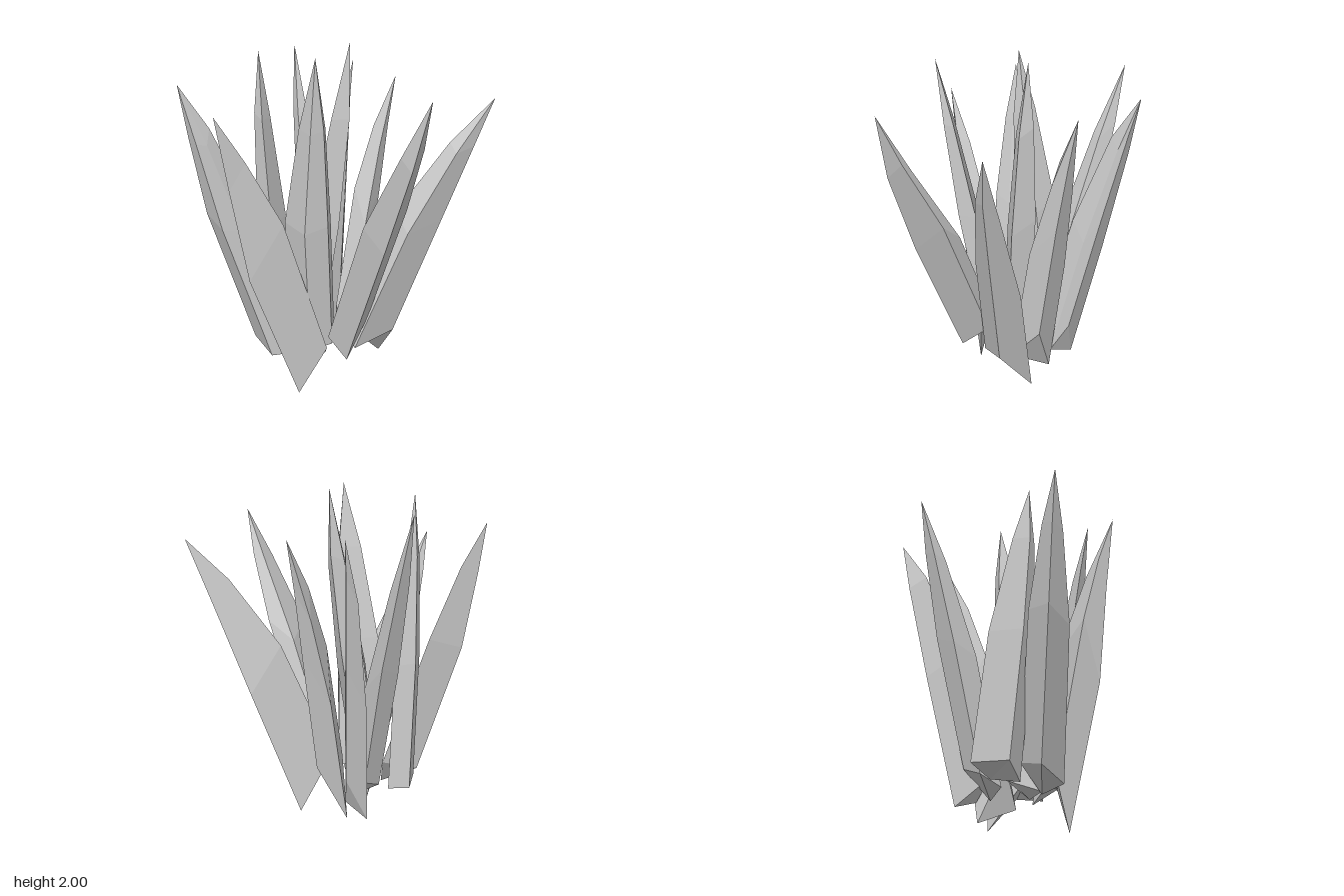
import * as THREE from 'three';

// base: corners of the broken-off foot, going round from +x towards +z.
// spine: [x, y, z, scale of the foot outline]; the last point is the tip.
const SHARDS = {
  rightFrontShard: {
    base: [[0, 0.28, 0.26], [-0.15, 0, 0.33], [-0.21, 0.3, 0.27], [-0.06, 0.18, 0.13]],
    spine: [[-0.3, 0.97, 0.43, 1.15], [-0.4, 1.38, 0.54, 0.55], [-0.47, 1.68, 0.64, 0]],
  },
  middleFrontShard: {
    base: [[0.02, 0.3, 0.23], [-0.1, 0.25, 0.27], [-0.23, 0.3, 0.23], [0, 0.3, 0.13]],
    spine: [[-0.05, 1.05, 0.35, 1], [0, 1.6, 0.43, 0.55], [0.03, 1.98, 0.49, 0]],
  },
  leftFrontShard: {
    base: [[0.2, 0.44, 0.12], [0.14, 0.26, 0.32], [0.04, 0.4, 0.35], [0.05, 0.33, 0.1]],
    spine: [[0.36, 1.08, 0.37, 1.05], [0.53, 1.5, 0.48, 0.55], [0.64, 1.81, 0.53, 0]],
  },
  leftShard: {
    base: [[0.32, 0.33, 0], [0.14, 0.26, 0.17], [0.04, 0.38, 0.1], [0.19, 0.11, -0.15]],
    spine: [[0.45, 0.98, -0.03, 0.88], [0.67, 1.43, -0.08, 0.45], [0.83, 1.72, -0.14, 0]],
  },
  leftBackShard: {
    base: [[0.05, 0.19, 0.03], [-0.04, 0.43, -0.02], [-0.09, 0.085, -0.16], [0.09, 0.4, -0.16]],
    spine: [[0.07, 1, -0.2, 0.9], [0.13, 1.42, -0.3, 0.5], [0.2, 1.77, -0.4, 0]],
  },
  backShard: {
    base: [[-0.08, 0.2, -0.17], [-0.13, 0.33, -0.08], [-0.22, 0.14, -0.26], [-0.1, 0.38, -0.28]],
    spine: [[-0.15, 1, -0.38, 0.9], [-0.155, 1.55, -0.54, 0.5], [-0.14, 1.82, -0.64, 0]],
  },
  rightBackShard: {
    base: [[-0.1, 0.2, -0.09], [-0.18, 0.25, -0.02], [-0.27, 0.3, -0.12], [-0.2, 0.35, -0.22]],
    spine: [[-0.29, 1, -0.25, 1.1], [-0.39, 1.55, -0.37, 0.6], [-0.46, 1.92, -0.46, 0]],
  },
  rightShard: {
    base: [[-0.25, 0.18, 0.2], [-0.32, 0.21, 0.32], [-0.47, 0.27, 0.22], [-0.27, 0.35, 0.09]],
    spine: [[-0.58, 1.02, 0.28, 0.95], [-0.72, 1.48, 0.32, 0.5], [-0.83, 1.78, 0.35, 0]],
  },
  innerRightShard: {
    base: [[-0.32, 0.25, -0.06], [-0.35, 0.22, 0.1], [-0.46, 0.3, 0.06], [-0.45, 0.3, -0.14]],
    spine: [[-0.41, 1, 0.07, 0.95], [-0.42, 1.6, 0.14, 0.5], [-0.42, 1.96, 0.17, 0]],
  },
  centreShard: {
    base: [[-0.1, 0.2, 0.12], [-0.24, 0.2, 0.2], [-0.25, 0.25, 0.05], [-0.14, 0.3, 0]],
    spine: [[-0.09, 1, 0.02, 1.1], [-0.01, 1.6, -0.03, 0.65], [0.03, 2, -0.06, 0]],
  },
};

// Lofts a faceted crystal from its foot outline along the spine to the tip
function shardGeometry({ base, spine }) {
  const n = base.length;
  const centre = [0, 1, 2].map((k) => base.reduce((sum, p) => sum + p[k], 0) / n);
  const rings = [base];
  for (const point of spine) {
    rings.push(base.map((p) => p.map((v, k) => point[k] + (v - centre[k]) * point[3])));
  }
  const pos = [];
  // Foot cap
  for (let i = 1; i < n - 1; i++) pos.push(...base[0], ...base[i], ...base[i + 1]);
  // Side facets, closing to a point at the last ring
  for (let s = 0; s < rings.length - 1; s++) {
    for (let i = 0; i < n; i++) {
      const j = (i + 1) % n;
      pos.push(...rings[s][i], ...rings[s + 1][i], ...rings[s][j]);
      if (s < rings.length - 2) pos.push(...rings[s][j], ...rings[s + 1][i], ...rings[s + 1][j]);
    }
  }
  const geo = new THREE.BufferGeometry();
  geo.setAttribute('position', new THREE.Float32BufferAttribute(pos, 3));
  geo.computeVertexNormals();
  return geo;
}

export function createModel() {
  const group = new THREE.Group();
  group.name = 'crystalCluster';
  const material = new THREE.MeshStandardMaterial({ color: 0xcccccc, flatShading: true });
  for (const [name, shape] of Object.entries(SHARDS)) {
    const shard = new THREE.Mesh(shardGeometry(shape), material);
    shard.name = name;
    group.add(shard);
  }
  return group;
}
